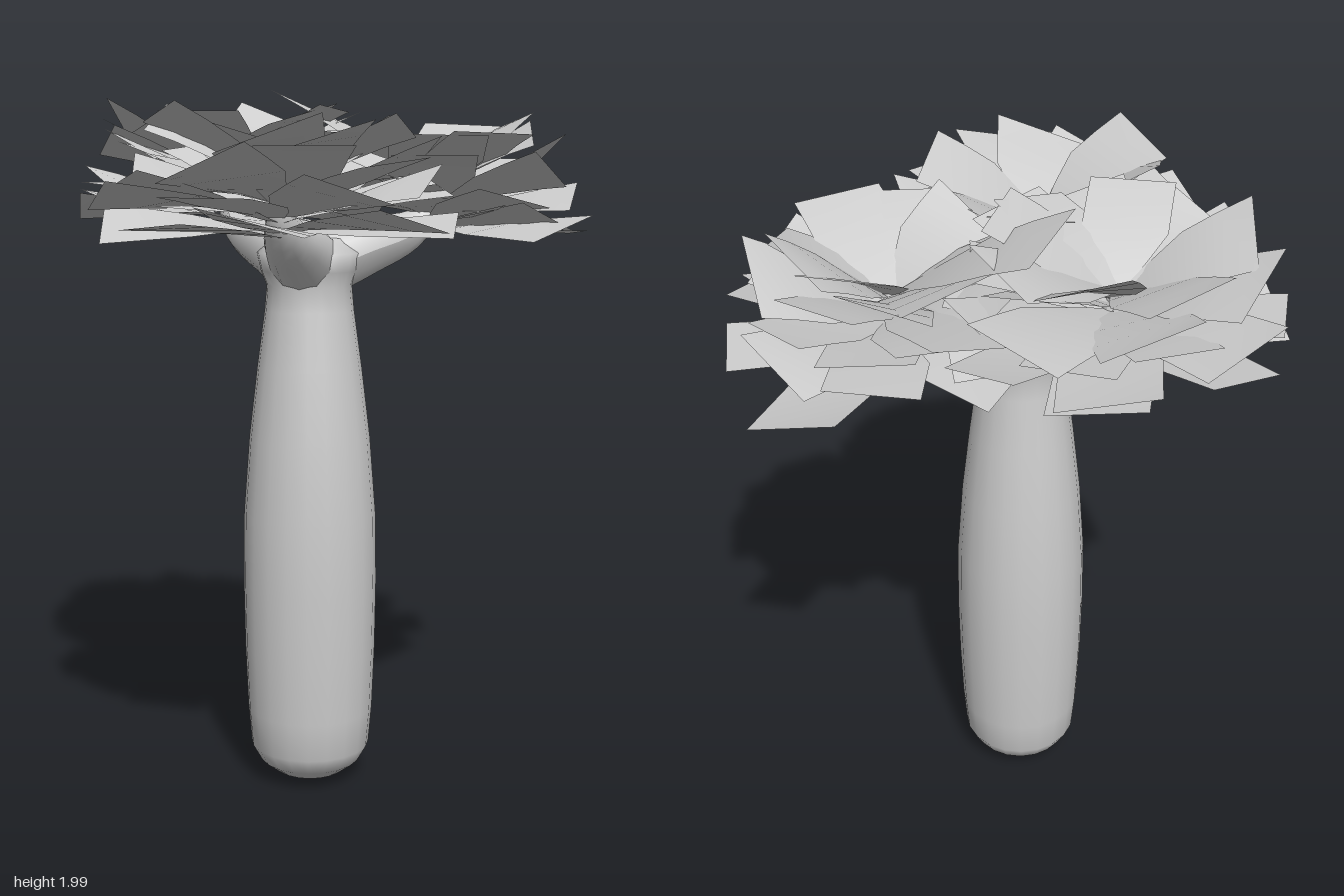
import * as THREE from 'three';

const grey = new THREE.MeshStandardMaterial({ color: 0xcccccc, side: THREE.DoubleSide });
grey.name = 'plain grey';

const CX = -0.075, CZ = 0.037; // trunk axis

// Small seeded generator, returns -1..1
let seed = 11;
const jitter = () => {
  seed = (seed * 16807) % 2147483647;
  return (seed / 2147483647) * 2 - 1;
};

function part(name, geometry) {
  const mesh = new THREE.Mesh(geometry, grey);
  mesh.name = name;
  return mesh;
}

// Swollen trunk with a rounded foot, a neck and a flared crotch
function makeTrunk() {
  const profile = [
    [0, 0.004], [0.05, 0.009], [0.1, 0.028], [0.145, 0.062], [0.172, 0.11], [0.181, 0.22],
    [0.188, 0.4], [0.191, 0.6], [0.188, 0.8], [0.171, 1.02], [0.147, 1.22],
    [0.125, 1.38], [0.119, 1.45], [0.135, 1.49], [0.145, 1.54], [0.1, 1.58], [0, 1.59],
  ].map(([r, y]) => new THREE.Vector2(r, y));
  const trunk = part('trunk', new THREE.LatheGeometry(profile, 20));
  trunk.position.set(CX, 0, CZ);
  return trunk;
}

// Branch: a tube that sweeps outward, turns up and tapers to a rounded tip
function makeBranch([x, y, z]) {
  const dx = x - CX, dz = z - CZ;
  const at = (k, h) => new THREE.Vector3(CX + dx * k, h, CZ + dz * k);
  const path = new THREE.CatmullRomCurve3([
    at(0, 1.5), at(0.4, 1.55), at(0.8, 1.595), at(0.97, 1.65), at(1, y),
  ]);
  const rings = 16, sides = 12;
  const geometry = new THREE.TubeGeometry(path, rings, 1, sides);
  const pos = geometry.attributes.position;
  const v = new THREE.Vector3();
  for (let i = 0; i <= rings; i++) {
    const t = i / rings;
    const centre = path.getPointAt(t);
    const radius = 0.1 - 0.085 * Math.pow(t, 1.8);
    for (let j = 0; j <= sides; j++) {
      const n = i * (sides + 1) + j;
      v.fromBufferAttribute(pos, n).sub(centre).multiplyScalar(radius).add(centre);
      pos.setXYZ(n, v.x, v.y, v.z);
    }
  }
  geometry.computeVertexNormals();
  const group = new THREE.Group();
  group.name = 'branch';
  const tip = part('branchTip', new THREE.SphereGeometry(0.016, 10, 8));
  tip.position.set(x, y, z);
  group.add(part('branchLimb', geometry), tip);
  return group;
}

// Square-ended leaf: narrow at the origin, running along +z and rising in a gentle arc
function makeLeaf({ width, length, rise, turn, roll, y }) {
  const geometry = new THREE.PlaneGeometry(width, length, 1, 4);
  geometry.rotateX(-Math.PI / 2).translate(0, 0, length / 2);
  const pos = geometry.attributes.position;
  for (let i = 0; i < pos.count; i++) {
    const t = pos.getZ(i) / length;
    const x = pos.getX(i) * Math.min(1, 0.1 + 2 * t);
    pos.setX(i, x);
    // the roll grows towards the free end
    pos.setY(i, rise * (1.3 * t - 0.3 * t * t) + x * roll * t);
  }
  geometry.computeVertexNormals();
  const leaf = part('leaf', geometry);
  leaf.rotation.y = turn;
  leaf.position.y = y;
  return leaf;
}

// Bowl-shaped rosette: steep short leaves on top, long flat ones below
const layers = [
  { count: 8, length: 0.33, rise: 0.165, drop: 0.01 },
  { count: 8, length: 0.37, rise: 0.13, drop: 0.04 },
  { count: 8, length: 0.41, rise: 0.08, drop: 0.075 },
  { count: 8, length: 0.45, rise: 0.02, drop: 0.105 },
];

function makeRosette({ tip, reach, strays }) {
  const rosette = new THREE.Group();
  rosette.name = 'leafRosette';
  layers.forEach(({ count, length, rise, drop }, k) => {
    for (let i = 0; i < count; i++) {
      rosette.add(makeLeaf({
        width: 0.24 + 0.02 * jitter(),
        length: reach * (length + 0.03 * jitter()),
        rise: rise + 0.035 * jitter(),
        turn: ((i + k * 0.4 + 0.25 * jitter()) / count) * Math.PI * 2,
        roll: 0.4 * jitter(),
        y: -drop + 0.015 * jitter(),
      }));
    }
  });
  // Longer leaves that reach past the ring
  for (const [turn, length, rise, roll, y] of strays) {
    rosette.add(makeLeaf({ width: 0.25, length, rise, turn, roll, y }));
  }
  rosette.position.set(...tip);
  return rosette;
}

// Branch tips, with stray leaves as [turn, length, rise, roll, y]
const clusters = [
  { tip: [-0.31, 1.715, 0.25], reach: 1, strays: [[-2.95, 0.5, 0.13, 0.2, -0.03], [-1.85, 0.47, 0.04, 0.3, -0.05]] },
  { tip: [0.275, 1.705, 0.14], reach: 0.91, strays: [[2.06, 0.51, -0.01, 0.3, -0.1], [2.98, 0.52, 0.13, -0.2, -0.03], [-2.7, 0.46, 0.26, 0.2, 0], [0.15, 0.47, 0.01, 0.25, -0.1]] },
  { tip: [-0.14, 1.75, -0.26], reach: 1, strays: [[3.14, 0.47, 0.07, 0.25, -0.04], [1.9, 0.47, 0.1, -0.25, -0.05], [2.4, 0.47, 0.03, 0.2, -0.08]] },
];

export function createModel() {
  seed = 11;
  const model = new THREE.Group();
  model.name = 'tree';
  model.add(makeTrunk());
  const crown = new THREE.Group();
  crown.name = 'crown';
  for (const cluster of clusters) {
    model.add(makeBranch(cluster.tip));
    crown.add(makeRosette(cluster));
  }
  model.add(crown);
  return model;
}
